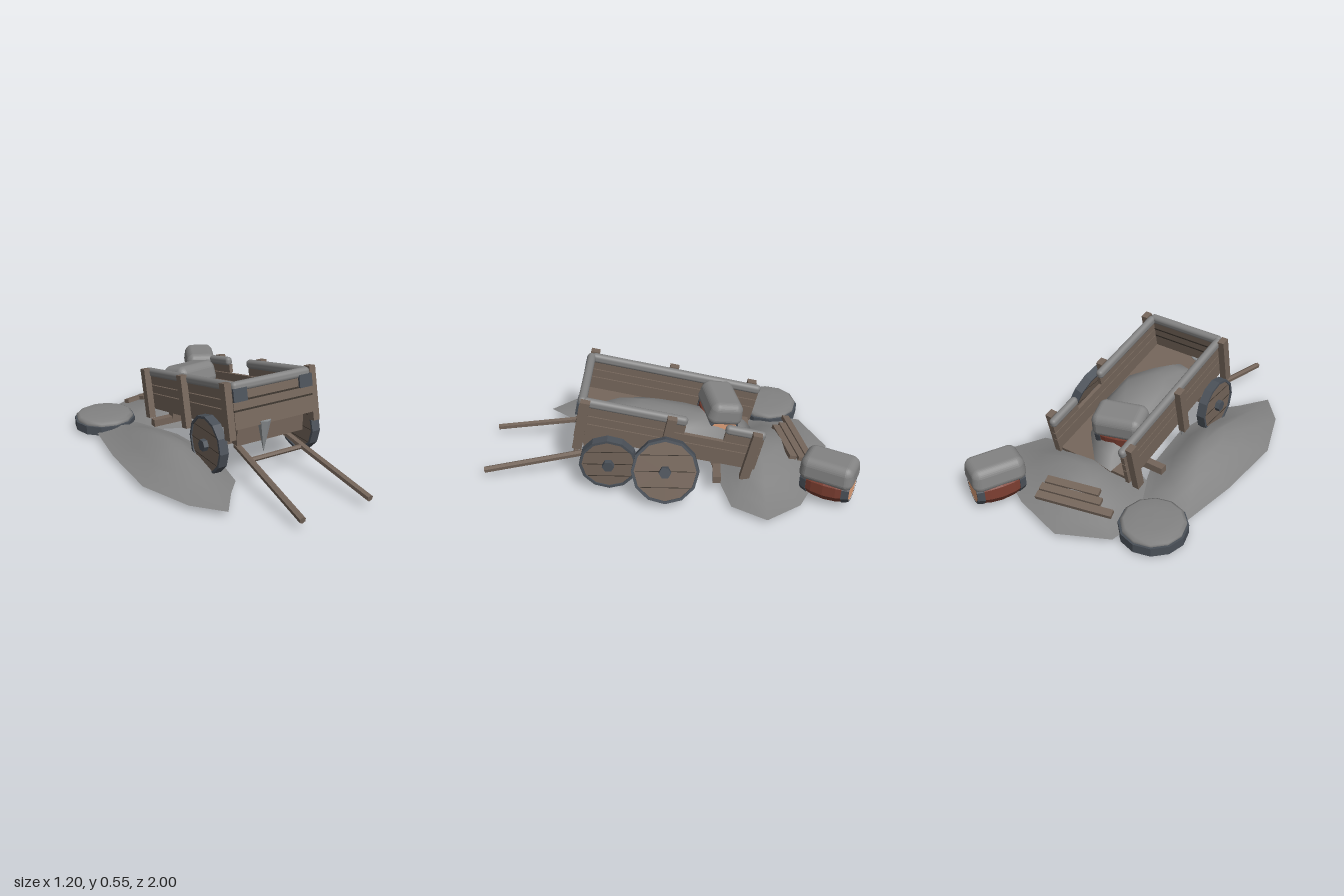
import * as THREE from 'three';
import { RoundedBoxGeometry } from 'three/addons/geometries/RoundedBoxGeometry.js';

const mat = (name, color) => Object.assign(new THREE.MeshStandardMaterial({ color }), { name });

export function createModel() {
  const wood = mat('wood', 0x74655a);
  const gapWood = mat('dark wood', 0x3a332c);
  const metal = mat('iron', 0x4a5058);
  const snow = mat('snow', 0x838383);
  snow.side = THREE.DoubleSide;
  const ice = mat('ice', 0x8d9194);
  const red = mat('barrel red', 0x7d3f32);
  const peach = mat('barrel end', 0xdf9f78);

  const root = new THREE.Group();
  root.name = 'snowyWagon';

  const add = (parent, name, geo, m, x = 0, y = 0, z = 0) => {
    const mesh = new THREE.Mesh(geo, m);
    mesh.name = name;
    mesh.position.set(x, y, z);
    parent.add(mesh);
    return mesh;
  };
  const group = (parent, name, x, y, z) => {
    const g = new THREE.Group();
    g.name = name;
    g.position.set(x, y, z);
    parent.add(g);
    return g;
  };
  const box = (parent, name, m, w, h, d, x, y, z) =>
    add(parent, name, new THREE.BoxGeometry(w, h, d), m, x, y, z);
  const flat = (g) => {
    const n = g.index ? g.toNonIndexed() : g;
    n.computeVertexNormals();
    return n;
  };
  const points = (pts) => pts.map((p) => new THREE.Vector2(p[0], p[1]));
  const lathe = (pts, seg) => flat(new THREE.LatheGeometry(points(pts), seg));
  // straight bar between two points
  const bar = (parent, name, m, a, b, r, sides = 6) => {
    const A = new THREE.Vector3(...a), B = new THREE.Vector3(...b);
    const mesh = add(parent, name, flat(new THREE.CylinderGeometry(r, r, A.distanceTo(B), sides)), m);
    mesh.position.copy(A).lerp(B, 0.5);
    mesh.quaternion.setFromUnitVectors(new THREE.Vector3(0, 1, 0), B.sub(A).normalize());
    return mesh;
  };

  // snow drift: rings [scale, height] shrinking from an outline [x, z] towards a peak
  const softSlope = [[1, 0], [0.8, 0.15], [0.55, 0.5], [0.28, 0.9]];
  const fullSlope = [[1, 0], [0.85, 0.45], [0.6, 0.78], [0.3, 0.95]];
  const drift = (parent, name, outline, peak, base, height, rings) => {
    const n = outline.length, pos = [], idx = [];
    for (const [s, h] of rings) {
      for (const [x, z] of outline) {
        pos.push(peak[0] + (x - peak[0]) * s, base + height * h, peak[1] + (z - peak[1]) * s);
      }
    }
    pos.push(peak[0], base + height, peak[1]);
    for (let r = 0; r < rings.length; r++) {
      for (let i = 0; i < n; i++) {
        const j = (i + 1) % n, a = r * n + i, b = r * n + j;
        if (r === rings.length - 1) idx.push(a, rings.length * n, b);
        else idx.push(a, a + n, b, b, a + n, b + n);
      }
    }
    const g = new THREE.BufferGeometry();
    g.setAttribute('position', new THREE.Float32BufferAttribute(pos, 3));
    g.setIndex(idx);
    g.computeVertexNormals();
    return add(parent, name, g, snow);
  };

  // wheel with its axle along x
  const wheel = (name, r, x, y, z, hubLength = 0.09) => {
    const w = group(root, name, x, y, z);
    const ri = r - 0.014, h = 0.025;
    const rim = add(w, 'rim', lathe([[ri, -h], [r, -h], [r, h], [ri, h], [ri, -h]], 12), metal);
    const disc = add(w, 'disc', flat(new THREE.CylinderGeometry(ri, ri, 0.036, 12)), wood);
    const hub = add(w, 'hub', flat(new THREE.CylinderGeometry(0.032, 0.032, hubLength, 6)), metal);
    for (const m of [rim, disc, hub]) m.rotation.z = Math.PI / 2;
    for (const s of [-1, 1]) for (const k of [-0.5, 0, 0.5]) {
      const len = 1.9 * Math.sqrt(ri * ri - (k * r) ** 2);
      box(w, 'plankGap', gapWood, 0.004, 0.003, len, s * 0.018, k * r, 0);
    }
    return w;
  };

  // barrel along z, bulging, with a thick snow cap
  const barrel = (parent, name, x, y, z, turn) => {
    const b = group(parent, name, x, y, z);
    b.rotation.y = turn;
    const radius = (t) => 0.104 - 0.026 * (t / 0.13) ** 2;
    const shell = (a, c, grow) => [0, 0.5, 1].map((k) => {
      const t = a + (c - a) * k;
      return [radius(t) + grow, t];
    });
    const band = (a, c) => {
      const p = shell(a, c, 0.003);
      return [[p[0][0] - 0.008, a], ...p, [p[2][0] - 0.008, c]];
    };
    const parts = [add(b, 'staves', lathe([...shell(-0.13, 0, 0), ...shell(0, 0.13, 0).slice(1)], 10), red)];
    for (const [a, c] of [[-0.131, -0.095], [0.095, 0.131]]) {
      parts.push(add(b, 'hoop', lathe(band(a, c), 10), metal));
    }
    parts.push(add(b, 'ends', flat(new THREE.CylinderGeometry(0.076, 0.076, 0.258, 10)), peach));
    for (const m of parts) m.rotation.x = Math.PI / 2;
    // cap bulges along its length and narrows towards the top
    const cap = new RoundedBoxGeometry(0.2, 0.13, 0.285, 4, 0.038);
    const p = cap.attributes.position;
    for (let i = 0; i < p.count; i++) {
      const up = Math.max(0, p.getY(i) / 0.065);
      const bulge = 1.1 - 0.22 * (p.getZ(i) / 0.142) ** 2;
      p.setX(i, p.getX(i) * bulge * (1 - 0.18 * up));
      p.setY(i, p.getY(i) * (0.9 + 0.1 * bulge));
      p.setZ(i, p.getZ(i) * (1 - 0.06 * up));
    }
    cap.computeVertexNormals();
    add(b, 'snowCap', cap, snow, 0, 0.088, 0);
    return b;
  };

  // wagon body, raised at the front
  const body = group(root, 'body', 0.058, 0.214, 0);
  body.rotation.x = -0.21;
  box(body, 'bed', wood, 0.47, 0.02, 0.94, 0, 0.01, 0.01);
  const planks = [[0, 0.091], [0.096, 0.141], [0.146, 0.195]];
  const rail = (name, len, x, z, alongX) => {
    const g = alongX ? new RoundedBoxGeometry(len, 0.052, 0.045, 3, 0.021)
      : new RoundedBoxGeometry(0.042, 0.052, len, 3, 0.02);
    add(body, name, g, snow, x, 0.214, z);
  };
  for (const s of [-1, 1]) {
    planks.forEach(([a, b], i) => {
      // the top plank on the left side is broken behind the middle post
      const spans = s > 0 && i === 2 ? [[-0.475, -0.27], [-0.06, 0.48]] : [[-0.475, 0.48]];
      for (const [z0, z1] of spans) {
        box(body, 'sidePlank', wood, 0.022, b - a, z1 - z0, s * 0.229, (a + b) / 2, (z0 + z1) / 2);
        if (i === 2) rail('railSnow', z1 - z0 + 0.01, s * 0.224, (z0 + z1) / 2, false);
      }
    });
    for (const z of [-0.43, 0.02, 0.47]) {
      box(body, 'post', wood, 0.038, 0.29, 0.05, s * 0.259, 0.095, z);
    }
    box(body, 'cornerBracket', metal, 0.08, 0.068, 0.012, s * 0.2, 0.173, 0.505);
  }
  for (const [a, b] of planks) {
    box(body, 'frontPlank', wood, 0.48, b - a, 0.022, 0, (a + b) / 2, 0.488);
  }
  for (const y of [0.0935, 0.1435]) box(body, 'frontPlankGap', gapWood, 0.48, 0.009, 0.026, 0, y, 0.488);
  rail('frontSnow', 0.475, 0, 0.486, true);
  drift(body, 'bedSnow', [[-0.12, -0.47], [0, -0.45], [0.14, -0.3], [0.205, -0.08], [0.2, 0.17],
    [0.09, 0.31], [0, 0.39], [-0.1, 0.37], [-0.16, 0.22], [-0.18, -0.03], [-0.15, -0.3]],
  [0.02, -0.12], 0.021, 0.12, fullSlope);
  barrel(body, 'cartBarrel', -0.062, 0.1, -0.255, Math.PI / 2 + 0.25);

  // running gear
  box(root, 'frontBolster', wood, 0.41, 0.1, 0.05, 0.058, 0.257, 0.42);
  box(root, 'frontAxle', wood, 0.6, 0.04, 0.045, 0.058, 0.19, 0.31);
  box(root, 'rearBolster', wood, 0.41, 0.05, 0.05, 0.058, 0.14, -0.26);
  box(root, 'rearAxle', wood, 0.64, 0.04, 0.042, 0.058, 0.105, -0.265);
  wheel('frontWheelRight', 0.155, -0.23, 0.187, 0.305);
  wheel('frontWheelLeft', 0.155, 0.345, 0.187, 0.305);
  wheel('leaningWheel', 0.176, 0.427, 0.203, 0.005).rotation.z = 0.34;
  wheel('fallenWheel', 0.178, -0.42, 0.039, -0.59, 0.078).rotation.z = Math.PI / 2;
  add(root, 'fallenWheelSnow', new THREE.LatheGeometry(
    points([[0, 0.016], [0.15, 0.016], [0.161, 0.03], [0.166, 0.06], [0.168, 0.08],
      [0.15, 0.09], [0.08, 0.095], [0, 0.096]]), 12), snow, -0.42, 0, -0.59);

  // pulling shafts
  for (const s of [-1, 1]) {
    bar(root, 'shaft', wood, [0.058 + s * 0.155, 0.17, 0.36], [0.058 + s * 0.202, 0.052, 0.996], 0.018);
  }
  bar(root, 'shaftCrossbar', wood, [-0.11, 0.142, 0.5], [0.226, 0.142, 0.5], 0.013);

  // icicles
  const icicle = (r, h, x, top, z) =>
    add(root, 'icicle', flat(new THREE.ConeGeometry(r, h, 6)), ice, x, top - h / 2, z).rotation.x = Math.PI;
  icicle(0.036, 0.18, -0.005, 0.335, 0.474);
  icicle(0.02, 0.11, -0.17, 0.19, 0.06);

  // drifts on the ground
  drift(root, 'rightDrift', [[-0.37, 0.72], [-0.5, 0.57], [-0.6, 0.28], [-0.58, -0.12], [-0.53, -0.45],
    [-0.42, -0.62], [-0.26, -0.5], [-0.14, -0.2], [-0.1, 0.15], [-0.17, 0.47], [-0.26, 0.57]],
  [-0.33, 0.02], 0.03, 0.105, softSlope);
  drift(root, 'rearDrift', [[-0.34, -0.55], [-0.2, -0.32], [0.03, -0.22], [0.29, -0.28], [0.5, -0.34],
    [0.6, -0.52], [0.48, -0.7], [0.25, -0.82], [-0.04, -0.9], [-0.3, -0.77]],
  [0.08, -0.51], 0.03, 0.12, softSlope);

  // fallen tailgate planks
  const gate = group(root, 'fallenTailgate', -0.03, 0.092, -0.73);
  gate.rotation.set(-0.25, 0.24, 0, 'YXZ');
  [[0.42, 0, 0], [0.34, 0.04, 0.05], [0.3, 0.05, 0.1]].forEach(([len, x, z]) =>
    box(gate, 'tailgatePlank', wood, len, 0.022, 0.042, x, 0, z));

  barrel(root, 'groundBarrel', 0.385, 0.127, -0.845, -0.45);
  return root;
}
